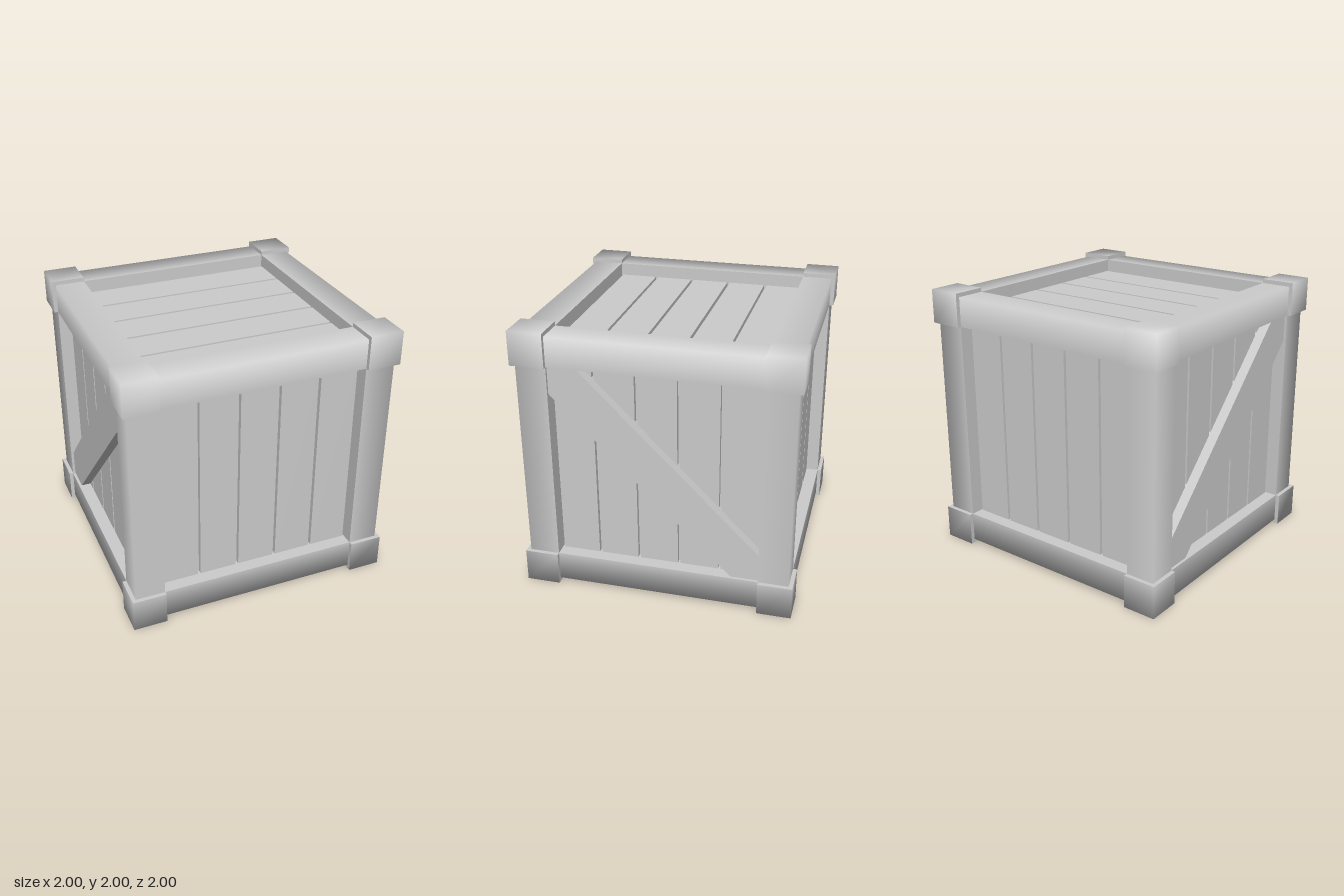
import * as THREE from 'three';

const CORE = 0.84;   // groove floor
const BOARD = 0.875; // board surface
const BEAM = 0.97;   // edge beam surface
const CORNER = 1.0;  // corner block surface
const INNER = 0.75;  // inner limit of the frame

const material = new THREE.MeshStandardMaterial({ color: 0xcccccc });

function addMesh(parent, name, geometry) {
  const mesh = new THREE.Mesh(geometry, material);
  mesh.name = name;
  parent.add(mesh);
  return mesh;
}

// Box between INNER and outer on each signed axis (sign 0 spans the opening).
// Normals on the outward faces blend over the outer edges, inner faces stay flat.
function frameBlock(signs, outer) {
  const mid = (INNER + outer) / 2;
  const size = signs.map(s => (s ? outer - INNER : INNER * 2));
  const geo = new THREE.BoxGeometry(...size);
  geo.translate(...signs.map(s => s * mid));
  const pos = geo.attributes.position, nor = geo.attributes.normal;
  const p = new THREE.Vector3(), n = new THREE.Vector3(), dir = new THREE.Vector3(...signs);
  for (let i = 0; i < pos.count; i++) {
    p.fromBufferAttribute(pos, i);
    n.fromBufferAttribute(nor, i);
    if (n.dot(dir) < 0.5) continue;
    n.fromArray(p.toArray().map((c, k) => (signs[k] && Math.abs(c) > outer - 0.001 ? signs[k] : 0)));
    n.normalize();
    nor.setXYZ(i, n.x, n.y, n.z);
  }
  return geo;
}

// Five boards with narrow gaps, upright and facing +z
function boardPanel(name) {
  const panel = new THREE.Group();
  panel.name = name;
  for (let i = -2; i <= 2; i++) {
    const board = addMesh(panel, 'board', new THREE.BoxGeometry(0.28, 1.6, BOARD - CORE));
    board.position.set(i * 0.3, 0, (BOARD + CORE) / 2);
  }
  return panel;
}

export function createModel() {
  const model = new THREE.Group();
  model.name = 'crate';
  const crate = new THREE.Group();
  crate.name = 'crateBody';
  crate.position.y = 1;
  model.add(crate);

  // Solid core behind the boards
  addMesh(crate, 'core', new THREE.BoxGeometry(CORE * 2, CORE * 2, CORE * 2));

  // Upright boards on the four sides
  ['frontPanel', 'leftPanel', 'backPanel', 'rightPanel'].forEach((name, i) => {
    const panel = boardPanel(name);
    panel.rotation.y = i * Math.PI / 2;
    crate.add(panel);
  });

  // Boards running across the lid and the bottom
  [['topPanel', -1], ['bottomPanel', 1]].forEach(([name, s]) => {
    const panel = boardPanel(name);
    panel.rotation.set(s * Math.PI / 2, 0, Math.PI / 2);
    crate.add(panel);
  });

  // Twelve edge beams and eight corner blocks
  for (const x of [-1, 0, 1]) for (const y of [-1, 0, 1]) for (const z of [-1, 0, 1]) {
    const count = Math.abs(x) + Math.abs(y) + Math.abs(z);
    if (count === 2) addMesh(crate, y ? 'edgeBeam' : 'cornerPost', frameBlock([x, y, z], BEAM));
    if (count === 3) addMesh(crate, 'cornerBlock', frameBlock([x, y, z], CORNER));
  }

  // Diagonal braces on both sides, rising toward the front
  const a = INNER, b = 0.545;
  const outline = [[-a, a], [-a, b], [b, -a], [a, -a], [a, -b], [-b, a]];
  const shape = new THREE.Shape(outline.map(([u, v]) => new THREE.Vector2(u, v)));
  const depth = 0.95 - CORE;
  for (const side of [1, -1]) {
    const geo = new THREE.ExtrudeGeometry(shape, { depth, bevelEnabled: false });
    geo.rotateY(Math.PI / 2);
    const brace = addMesh(crate, side > 0 ? 'leftBrace' : 'rightBrace', geo);
    brace.position.x = side > 0 ? CORE : -CORE - depth;
  }
  return model;
}
